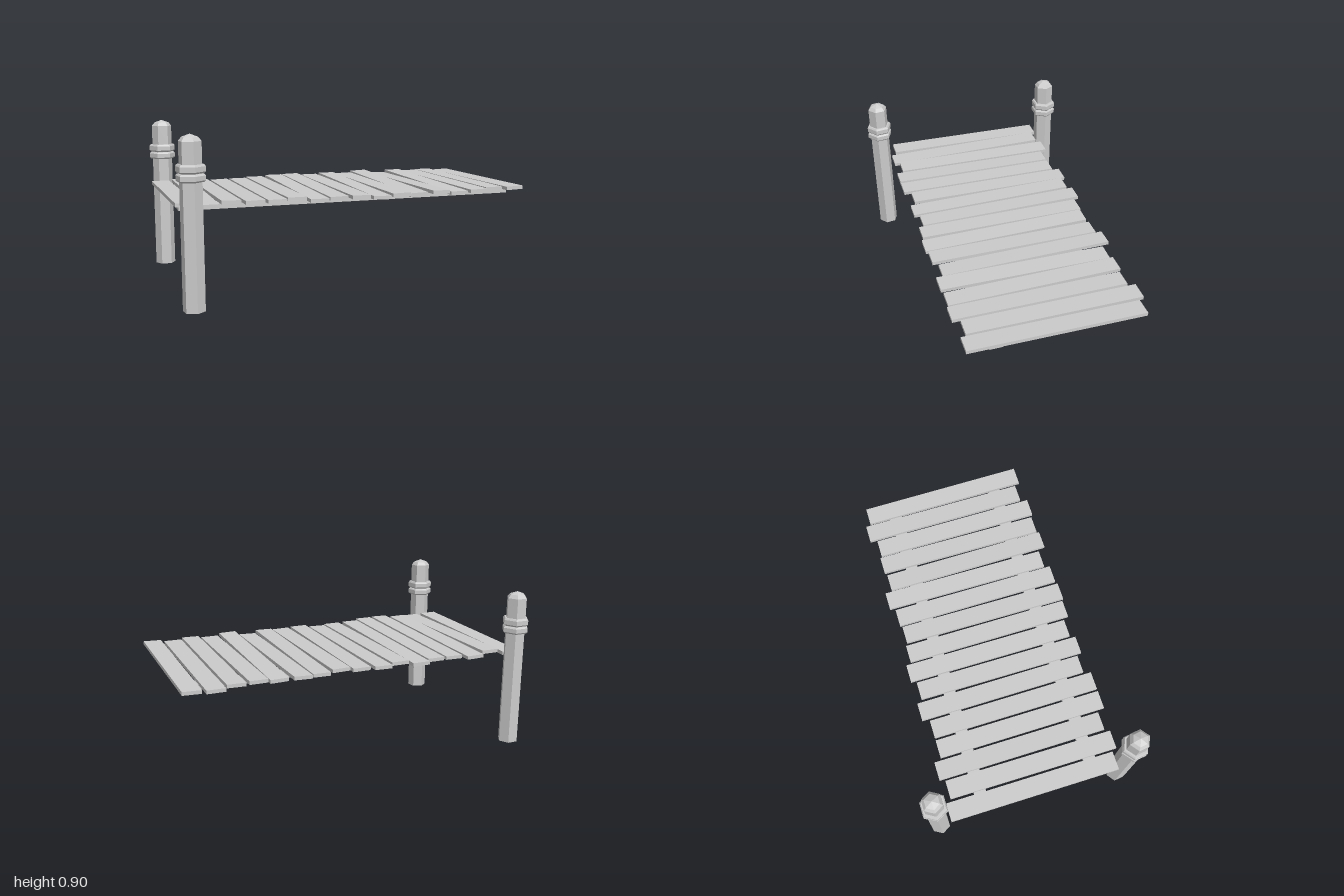
import * as THREE from 'three';

export function createModel() {
  const model = new THREE.Group();
  const wood = new THREE.MeshStandardMaterial({ color: 0xcccccc, flatShading: true });

  const add = (parent, name, geometry, x, y, z) => {
    const mesh = new THREE.Mesh(geometry, wood);
    mesh.name = name;
    mesh.position.set(x, y, z);
    parent.add(mesh);
    return mesh;
  };

  // Deck planks: each has its own z offset and a slight tilt (front end raised or lowered)
  const deck = new THREE.Group();
  deck.name = 'deck';
  model.add(deck);
  const offsets = [-15, 15, -15, 26, 26, -15, 15, -15, 15, 26, 15, -15, 26, 15, 26, -15, 15];
  const tilts = [-14, 8, -15, -15, -12, -12, 10, 6, -4, 12, -6, 12, -15, 10, -5, -8, -14];
  const rolls = [0, 0, -2, 2, 0, 0, 0, 2, 0, -2, 2, 3, -2, 0, 2, 0, 3];
  const plank = new THREE.BoxGeometry(0.104, 0.02, 0.97);
  offsets.forEach((offset, i) => {
    const mesh = add(deck, 'plank', plank, -0.948 + i * 0.1185, 0.527, offset / 1000);
    mesh.rotation.set(tilts[i] / 1000, 0, rolls[i] / 100);
  });

  // Two long beams carrying the planks
  const beam = new THREE.BoxGeometry(1.94, 0.03, 0.07);
  for (const z of [0.337, -0.304]) add(model, 'beam', beam, 0, 0.502, z);

  // Hexagonal posts with a double collar and a bevelled, pointed cap
  const profile = [
    [0, 0], [0.059, 0], [0.059, 0.664],
    [0.07, 0.664], [0.077, 0.672], [0.077, 0.696], [0.07, 0.704],
    [0.062, 0.705], [0.062, 0.707],
    [0.07, 0.708], [0.077, 0.716], [0.077, 0.742], [0.07, 0.752],
    [0.059, 0.752], [0.059, 0.866], [0.043, 0.886], [0, 0.902],
  ].map(([r, y]) => new THREE.Vector2(r, y));
  const post = new THREE.LatheGeometry(profile, 6);
  add(model, 'frontPost', post, -0.932, 0, 0.558).rotation.y = THREE.MathUtils.degToRad(8);
  add(model, 'backPost', post, -0.922, 0, -0.567).rotation.y = THREE.MathUtils.degToRad(30);

  return model;
}
